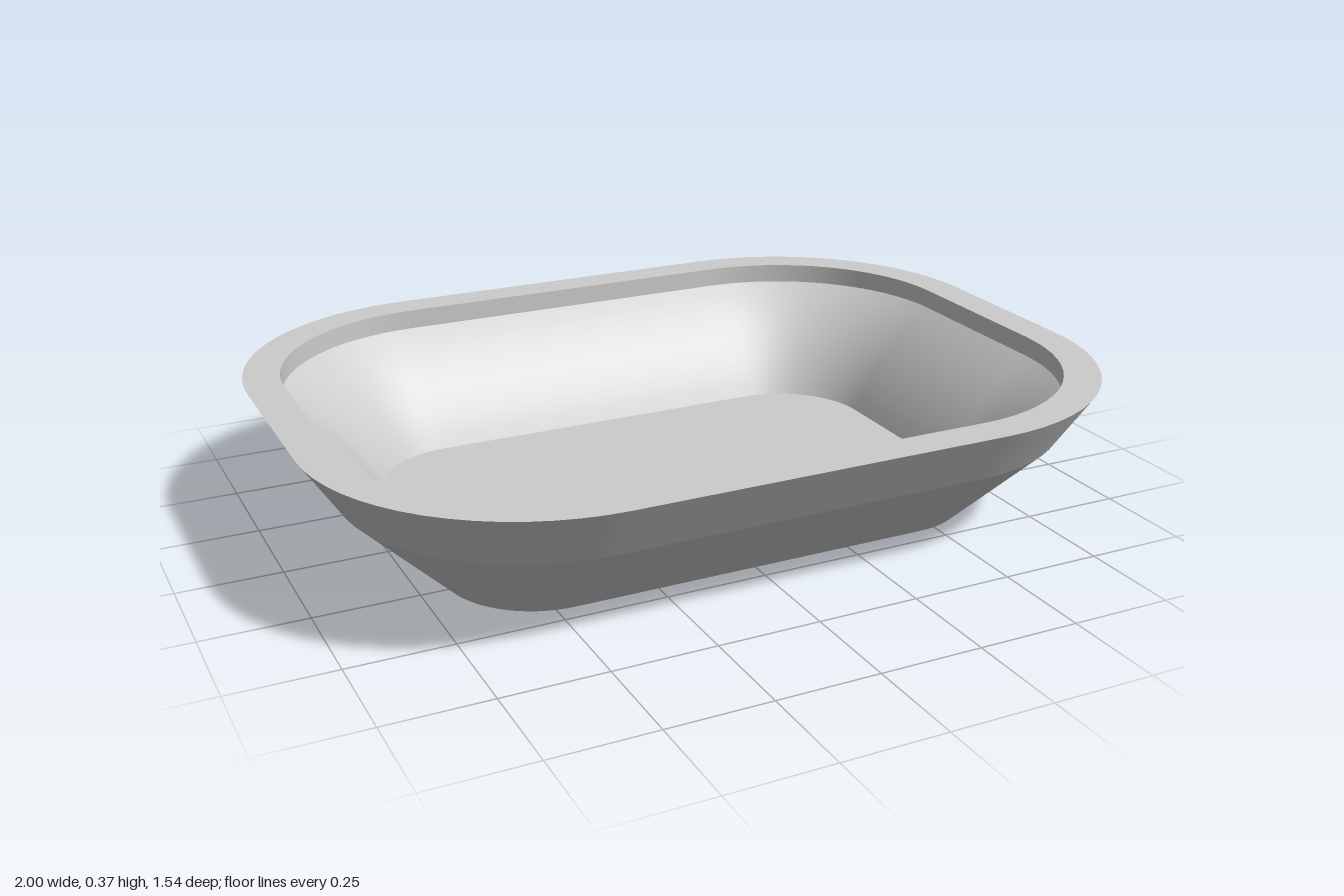
import * as THREE from 'three';

const CORE_X = 0.455, CORE_Z = 0.225; // corner arc centres
const ARC = 16; // segments per corner

// Rounded-rectangle outline: arc centre plus outward direction for each point
function outline() {
  const pts = [];
  const signs = [[1, 1], [-1, 1], [-1, -1], [1, -1]];
  signs.forEach(([sx, sz], q) => {
    for (let i = 0; i <= ARC; i++) {
      const a = (q + i / ARC) * Math.PI / 2;
      pts.push({ cx: sx * CORE_X, cz: sz * CORE_Z, dx: Math.cos(a), dz: Math.sin(a) });
    }
  });
  return pts;
}
const LOOP = outline();

// Wall swept round the outline from a smooth profile of [corner radius, height]
function band(profile) {
  const pos = [], nor = [], idx = [], n = LOOP.length;
  profile.forEach(([r, y], i) => {
    const a = profile[Math.max(i - 1, 0)], b = profile[Math.min(i + 1, profile.length - 1)];
    const dr = b[0] - a[0], dy = b[1] - a[1], len = Math.hypot(dr, dy);
    for (const p of LOOP) {
      pos.push(p.cx + p.dx * r, y, p.cz + p.dz * r);
      nor.push(p.dx * dy / len, -dr / len, p.dz * dy / len);
    }
    if (i === 0) return;
    for (let j = 0; j < n; j++) {
      const k = (j + 1) % n, lo = (i - 1) * n, hi = i * n;
      idx.push(lo + j, hi + j, lo + k, hi + j, hi + k, lo + k);
    }
  });
  const g = new THREE.BufferGeometry();
  g.setAttribute('position', new THREE.Float32BufferAttribute(pos, 3));
  g.setAttribute('normal', new THREE.Float32BufferAttribute(nor, 3));
  g.setIndex(idx);
  return g;
}

// Flat rounded-rectangle plate facing up or down
function cap(r, y, up) {
  const shape = new THREE.Shape(LOOP.map(p => new THREE.Vector2(p.cx + p.dx * r, p.cz + p.dz * r)));
  return new THREE.ShapeGeometry(shape).rotateX(up ? -Math.PI / 2 : Math.PI / 2).translate(0, y, 0);
}

export function createModel() {
  const group = new THREE.Group();
  group.name = 'dish';
  const grey = new THREE.MeshStandardMaterial({ color: 0xcccccc });
  grey.name = 'light grey';
  const add = (name, geometry) => {
    const mesh = new THREE.Mesh(geometry, grey);
    mesh.name = name;
    group.add(mesh);
  };

  // Radii and heights of the main rings
  const base = 0.228, mid = 0.455, rim = 0.545;
  const floorY = 0.045, ledgeY = 0.315, midY = 0.226, topY = 0.365;

  // Outside, in two slopes
  add('base', cap(base, 0, false));
  add('lowerOuterWall', band([[base, 0], [mid, midY]]));
  add('upperOuterWall', band([[mid, midY], [rim, topY]]));

  // Flat rim and the short upright step inside it
  add('rim', band([[rim, topY], [mid, topY]]));
  add('innerStep', band([[mid, topY], [mid, ledgeY]]));

  // Gently curved inside wall, steeper towards the floor
  const curve = new THREE.QuadraticBezierCurve(
    new THREE.Vector2(mid, ledgeY), new THREE.Vector2(0.306, 0.205), new THREE.Vector2(base, floorY));
  add('innerWall', band(curve.getPoints(10).map(p => [p.x, p.y])));
  add('floor', cap(base, floorY, true));
  return group;
}
